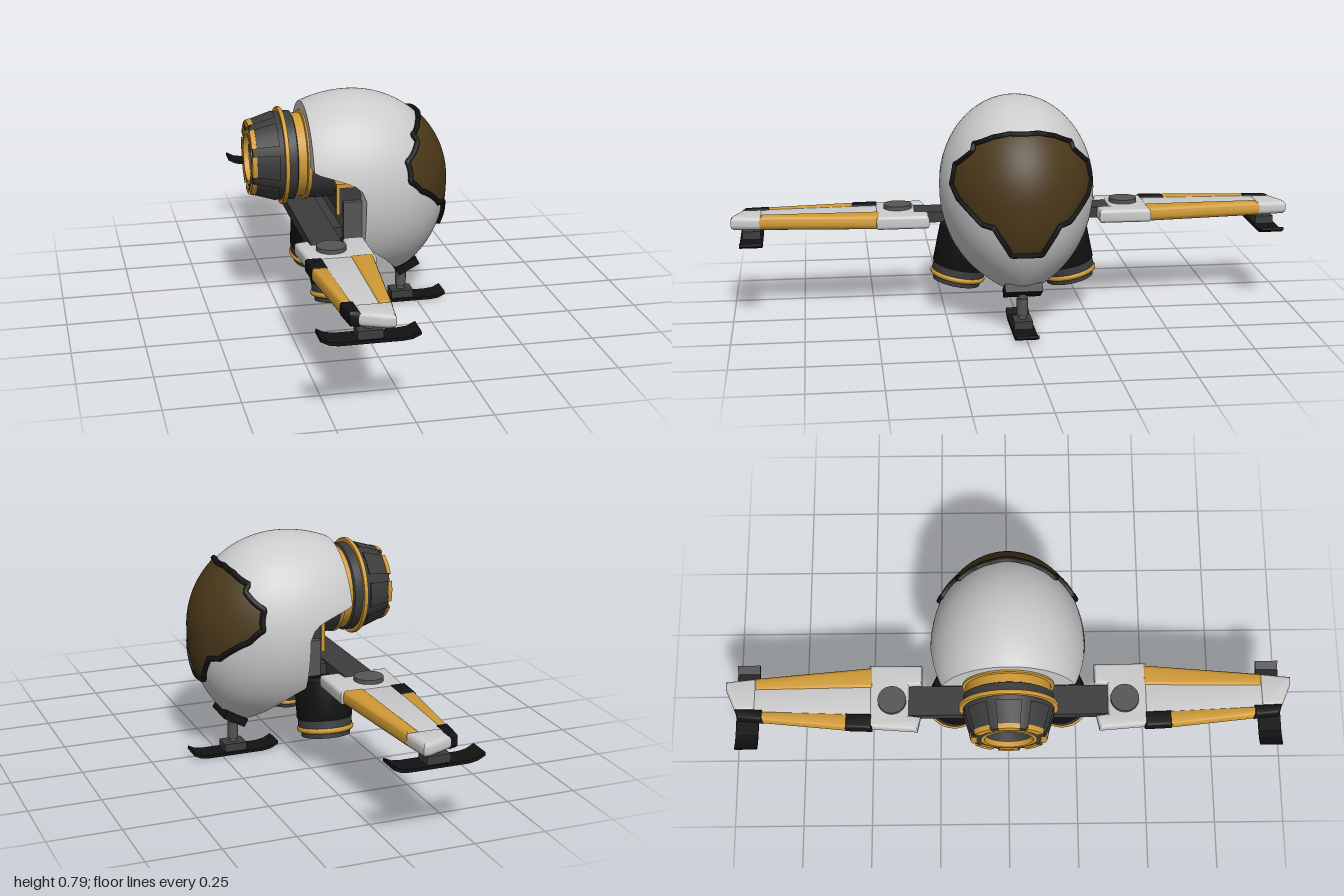
import * as THREE from 'three';
import { toCreasedNormals } from 'three/addons/utils/BufferGeometryUtils.js';

const mat = (color) => new THREE.MeshStandardMaterial({ color, side: THREE.DoubleSide });
const WHITE = mat(0xcccccc), GOLD = mat(0xd09a35), DARK = mat(0x3c3c3c), BLACK = mat(0x121212),
  GLASS = mat(0x4a3819), STEEL = mat(0x555555);

function add(parent, name, geo, material, x = 0, y = 0, z = 0) {
  const m = new THREE.Mesh(geo, material);
  m.name = name;
  m.position.set(x, y, z);
  parent.add(m);
  return m;
}

// box given by its min and max corners
const box = (p, name, material, a, b) => add(p, name,
  new THREE.BoxGeometry(b[0] - a[0], b[1] - a[1], b[2] - a[2]), material,
  (a[0] + b[0]) / 2, (a[1] + b[1]) / 2, (a[2] + b[2]) / 2);

// turned part (or an arc of one) from [radius, height] pairs
function turn(p, name, material, pts, start = 0, length = Math.PI * 2) {
  const segs = Math.max(6, Math.round(length * 8));
  const g = new THREE.LatheGeometry(pts.map(([r, y]) => new THREE.Vector2(r, y)), segs, start, length);
  return add(p, name, toCreasedNormals(g, 0.5), material);
}

// horizontal plate from an [x, z] outline, with rounded rims
function plate(p, name, material, pts, s, y0, y1, bevel) {
  const g = new THREE.ExtrudeGeometry(new THREE.Shape(pts.map(([x, z]) => new THREE.Vector2(x, z * s))), {
    depth: y1 - y0 - 2 * bevel, bevelThickness: bevel, bevelSize: bevel, bevelOffset: -bevel, bevelSegments: 5,
  });
  g.rotateX(Math.PI / 2);
  return add(p, name, toCreasedNormals(g, 0.6), material, 0, y1 - bevel, 0);
}

// smooth surface from a rule fn(row, column)
function surface(rows, cols, fn) {
  const pos = [], idx = [];
  for (let i = 0; i <= rows; i++) for (let j = 0; j <= cols; j++) {
    pos.push(...fn(i / rows, j / cols));
    const a = i * (cols + 1) + j, c = a + cols + 1;
    if (i < rows && j < cols) idx.push(a, a + 1, c, a + 1, c + 1, c);
  }
  const g = new THREE.BufferGeometry();
  g.setAttribute('position', new THREE.Float32BufferAttribute(pos, 3));
  g.setIndex(idx);
  g.computeVertexNormals();
  return g;
}

function lerpTable(table, y) {
  for (let i = 1; i < table.length; i++) {
    const [y0, v0] = table[i - 1], [y1, v1] = table[i];
    if (y <= y1) return v0 + (v1 - v0) * Math.max(0, (y - y0) / (y1 - y0));
  }
  return table[table.length - 1][1];
}

// egg-shaped hull: half width, front reach and back reach at each height
const X0 = 0.01, MID = 0.47, TOP = 0.79, LOW = 0.125;
function section(y) {
  const t = y > MID ? (y - MID) / (TOP - MID) : (MID - y) / (MID - LOW);
  const k = Math.sqrt(Math.max(0, 1 - t * t));
  return { w: 0.27 * k, f: y > MID ? 0.338 * k : 0.338 * (1 - 0.44 * t ** 2.45), b: y > MID ? 0.38 * k : 0.38 };
}
// rear edge of the hull, cut away beneath the engine
const CUT = [[0.125, 0.175], [0.14, 0.163], [0.17, 0.142], [0.22, 0.1], [0.265, 0.05], [0.29, 0.01], [0.47, 0.01],
  [0.505, -0.005], [0.525, -0.03], [0.54, -0.07], [0.552, -0.11], [0.565, -0.16], [0.8, -0.16]];
const hullY = (u) => LOW + (TOP - LOW) * (1 - Math.cos(u * Math.PI)) / 2;
function rearAngle(y) {
  const { f, b } = section(y), d = lerpTable(CUT, y) - X0;
  return Math.acos(THREE.MathUtils.clamp(d / Math.max(1e-6, d > 0 ? f : b), -1, 1));
}
function hullPoint(y, a) {
  const { w, f, b } = section(y), c = Math.cos(a);
  return [X0 + (c > 0 ? f : b) * c, y, w * Math.sin(a)];
}

// visor half width at each height
const VISOR = [[0.305, 0.05], [0.40, 0.11], [0.407, 0.145], [0.48, 0.218], [0.52, 0.235], [0.585, 0.222],
  [0.64, 0.167], [0.66, 0.162], [0.688, 0.1], [0.7, 0.05]];
function visorPoint(y, z, grow) {
  const { w, f } = section(y);
  const x = f * Math.sqrt(Math.max(0, 1 - (z / w) ** 2));
  return [X0 + x * grow, MID + (y - MID) * grow, z * grow];
}

function buildHull(root) {
  add(root, 'hullShell', surface(110, 64, (u, v) => {
    const y = hullY(u);
    return hullPoint(y, rearAngle(y) * (1 - 2 * v));
  }), WHITE);
  add(root, 'hullRearWall', toCreasedNormals(surface(110, 4, (u, v) => {
    const y = hullY(u), [x, , z] = hullPoint(y, rearAngle(y));
    return [x, y, z * (2 * v - 1)];
  }), 0.4), WHITE);
  add(root, 'visor', surface(60, 30, (u, v) => {
    const y = 0.305 + 0.395 * u;
    return visorPoint(y, lerpTable(VISOR, y) * (1 - 2 * v), 1.015);
  }), GLASS);
  // black rim following the visor outline
  const loop = [...VISOR.map(([y, z]) => [y, z]), ...VISOR.map(([y, z]) => [y, -z]).reverse()];
  const path = [];
  loop.forEach(([y, z], i) => {
    const [y2, z2] = loop[(i + 1) % loop.length];
    for (let k = 0; k < 5; k++) {
      const t = k / 5;
      path.push(new THREE.Vector3(...visorPoint(y + (y2 - y) * t, z + (z2 - z) * t, 1.015)));
    }
  });
  add(root, 'visorRim', new THREE.TubeGeometry(new THREE.CatmullRomCurve3(path, true), 300, 0.01, 6, true), BLACK);
  const chin = box(root, 'chinGuard', BLACK, [0.165, 0.13, -0.065], [0.25, 0.16, 0.065]);
  chin.rotation.z = 0.5;
}

function buildEngine(root) {
  const e = new THREE.Group();
  e.name = 'mainEngine';
  e.position.y = 0.57;
  e.rotation.z = Math.PI / 2;
  root.add(e);
  turn(e, 'engineCasing', DARK, [[0, -0.005], [0.148, -0.005], [0.153, 0.0], [0.153, 0.156]]);
  turn(e, 'engineCollar', GOLD, [[0.156, 0.154], [0.156, 0.166], [0.146, 0.168], [0.146, 0.2]]);
  turn(e, 'engineBand', DARK, [[0.146, 0.198], [0.155, 0.202], [0.155, 0.234]]);
  turn(e, 'engineRing', GOLD, [[0.15, 0.232], [0.168, 0.232], [0.17, 0.235], [0.17, 0.243], [0.168, 0.246], [0.15, 0.246]]);
  turn(e, 'nozzle', DARK, [[0.155, 0.245], [0.15, 0.262], [0.119, 0.35], [0.09, 0.35], [0.075, 0.26], [0, 0.26]]);
  turn(e, 'nozzleInnerRing', GOLD, [[0.095, 0.347], [0.095, 0.354], [0.083, 0.354], [0.08, 0.335]]);
  for (let i = 0; i < 8; i++) {
    const a = i * Math.PI / 4 - 0.29;
    turn(e, 'nozzleRib', DARK, [[0.14, 0.262], [0.156, 0.262], [0.13, 0.345], [0.115, 0.345]], a, 0.58);
    turn(e, 'nozzleTip', GOLD, [[0.125, 0.335], [0.134, 0.338], [0.129, 0.354], [0.108, 0.355], [0.106, 0.345]], a, 0.58);
  }
}

function buildThruster(root, s) {
  const t = new THREE.Group();
  t.name = 'lowerThruster';
  t.position.set(-0.073, 0.31, s * 0.165);
  t.rotation.x = s * (Math.PI - 0.2);
  root.add(t);
  turn(t, 'thrusterBody', BLACK, [[0, 0], [0.08, 0], [0.097, 0.015], [0.097, 0.145], [0.092, 0.155]]);
  turn(t, 'thrusterNeck', DARK, [[0.094, 0.15], [0.094, 0.178], [0.085, 0.185], [0.085, 0.212], [0.07, 0.212], [0.06, 0.15], [0, 0.15]]);
  const ring = add(t, 'thrusterRing', new THREE.TorusGeometry(0.088, 0.011, 10, 40), GOLD, 0, 0.185, 0);
  ring.rotation.x = Math.PI / 2;
  turn(t, 'thrusterInnerRing', GOLD, [[0.07, 0.212], [0.064, 0.18]]);
}

// curved ski with its foot block
function buildSkid(root, name, x, y, z) {
  const up = [[-0.157, 0.02], [-0.13, 0.006], [-0.1, 0.001], [0.1, 0.001], [0.13, 0.004], [0.157, 0.017]];
  const pts = [...up, ...up.map(([a, b]) => [a * 0.99, b + 0.011]).reverse()];
  const g = new THREE.ExtrudeGeometry(new THREE.Shape(pts.map((q) => new THREE.Vector2(...q))), { depth: 0.08, bevelEnabled: false });
  add(root, name, g, BLACK, x, y, z - 0.04);
  box(root, name + 'Foot', DARK, [x - 0.04, y + 0.01, z - 0.032], [x + 0.04, y + 0.04, z + 0.032]);
}

function buildWing(root, s) {
  const w = new THREE.Group();
  w.name = s > 0 ? 'leftWing' : 'rightWing';
  root.add(w);
  plate(w, 'wingRoot', WHITE, [[-0.248, 0.32], [-0.2, 0.31], [-0.195, 0.35], [-0.085, 0.35], [-0.08, 0.305], [-0.01, 0.305],
    [-0.008, 0.49], [-0.235, 0.49]], s, 0.315, 0.363, 0.012);
  plate(w, 'wingPanel', WHITE, [[-0.21, 0.47], [-0.06, 0.47], [-0.07, 0.92], [-0.18, 0.92]], s, 0.322, 0.36, 0.005);
  plate(w, 'wingLeadingEdge', GOLD, [[-0.095, 0.475], [-0.015, 0.475], [-0.052, 0.9], [-0.1, 0.9]], s, 0.315, 0.366, 0.018);
  plate(w, 'wingTrailingEdge', GOLD, [[-0.24, 0.565], [-0.185, 0.565], [-0.172, 0.875], [-0.208, 0.875]], s, 0.315, 0.364, 0.015);
  plate(w, 'trailingInnerCap', BLACK, [[-0.244, 0.48], [-0.188, 0.48], [-0.185, 0.575], [-0.24, 0.575]], s, 0.314, 0.365, 0.012);
  plate(w, 'trailingOuterCap', BLACK, [[-0.21, 0.865], [-0.168, 0.865], [-0.165, 0.965], [-0.2, 0.955]], s, 0.314, 0.365, 0.012);
  plate(w, 'wingTip', WHITE, [[-0.172, 0.89], [-0.052, 0.89], [-0.064, 1.0], [-0.09, 1.0], [-0.172, 0.965]], s, 0.316, 0.364, 0.016);
  add(w, 'wingHinge', new THREE.CylinderGeometry(0.05, 0.052, 0.072, 32), STEEL, -0.142, 0.341, s * 0.41);
  buildSkid(w, 'wingSkid', -0.135, 0.262, s * 0.93);
  add(w, 'wingSkidStrut', new THREE.CylinderGeometry(0.016, 0.016, 0.04, 12), STEEL, -0.135, 0.31, s * 0.93);
}

export function createModel() {
  const root = new THREE.Group();
  root.name = 'spacecraft';
  buildHull(root);
  buildEngine(root);

  // carrier frame between hull, engine and wings
  box(root, 'wingSpar', DARK, [-0.195, 0.318, -0.36], [-0.088, 0.356, 0.36]);
  box(root, 'centrePlate', DARK, [-0.18, 0.305, -0.17], [0.01, 0.35, 0.17]);
  box(root, 'frameBlock', STEEL, [-0.055, 0.32, -0.2], [0.015, 0.448, 0.2]);
  box(root, 'engineMount', DARK, [-0.066, 0.4, -0.18], [0.012, 0.496, 0.18]);
  box(root, 'mountTrimTop', GOLD, [-0.075, 0.495, -0.185], [0.0, 0.51, 0.185]);
  for (const s of [1, -1]) {
    box(root, 'mountTrimSide', GOLD, [-0.076, 0.4, s * 0.177 - 0.008], [-0.064, 0.51, s * 0.177 + 0.008]);
    buildThruster(root, s);
    buildWing(root, s);
  }

  // front landing gear
  buildSkid(root, 'frontSkid', 0.198, 0, 0);
  add(root, 'frontStrut', new THREE.CylinderGeometry(0.014, 0.014, 0.12, 16), STEEL, 0.198, 0.09, 0);
  add(root, 'frontStrutSleeve', new THREE.CylinderGeometry(0.02, 0.02, 0.06, 8), STEEL, 0.198, 0.084, 0);
  return root;
}
